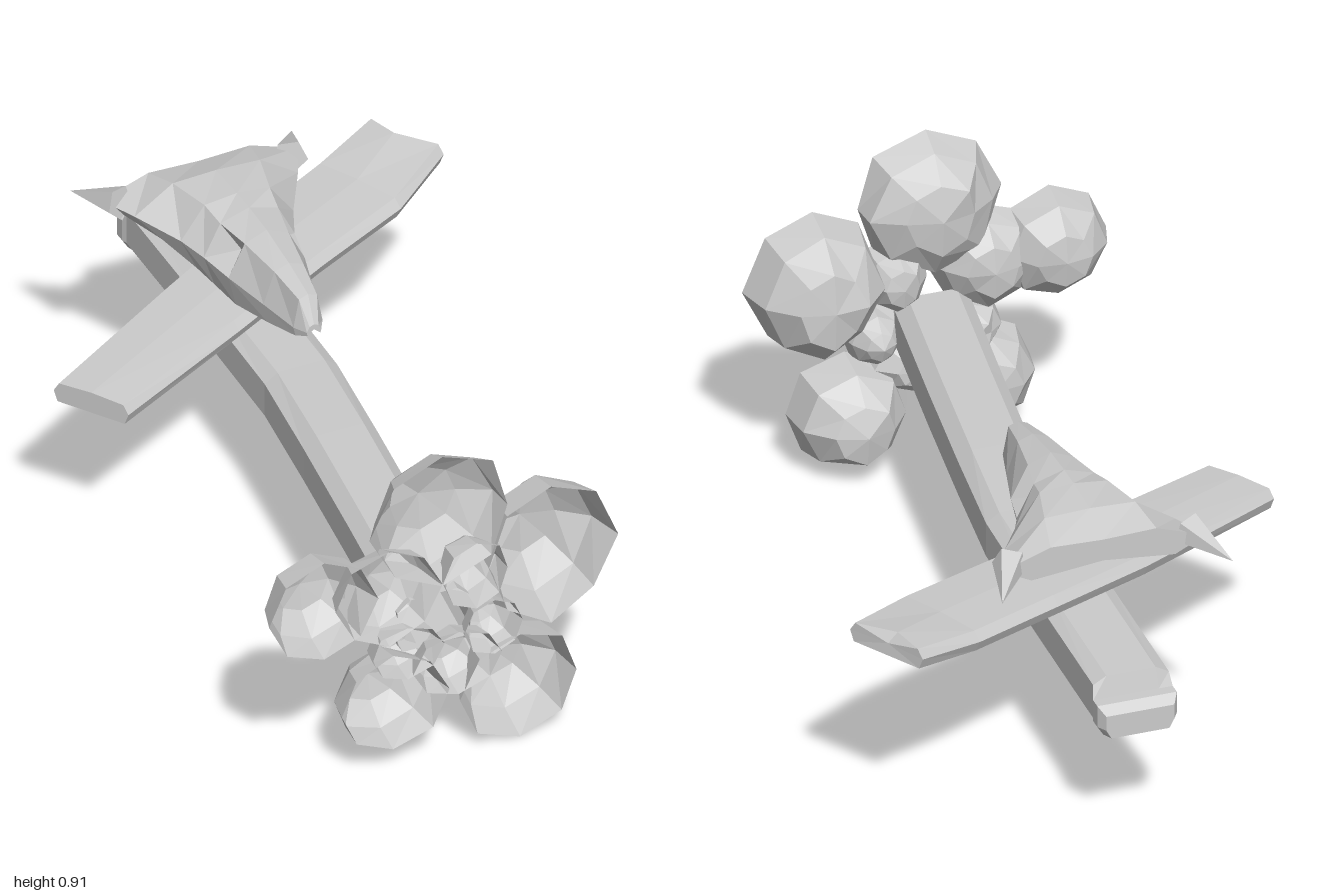
import * as THREE from 'three';

const material = new THREE.MeshStandardMaterial({
  color: 0xcccccc, flatShading: true, side: THREE.DoubleSide,
});

// Skin a series of closed rings; skip(i, j) returns a point to sink that panel to.
function loft(name, rings, { capStart = true, capEnd = true, sink = () => null } = {}) {
  const pos = [];
  const tri = (...pts) => pts.forEach((p) => pos.push(...p));
  const n = rings[0].length;
  for (let i = 0; i < rings.length - 1; i++) {
    for (let j = 0; j < n; j++) {
      const k = (j + 1) % n;
      const quad = [rings[i][j], rings[i][k], rings[i + 1][k], rings[i + 1][j]];
      const deep = sink(i, j);
      if (deep) quad.forEach((p, q) => tri(p, quad[(q + 1) % 4], deep));
      else {
        tri(quad[0], quad[1], quad[2]);
        tri(quad[0], quad[2], quad[3]);
      }
    }
  }
  const cap = (ring, flip) => {
    const mid = [0, 1, 2].map((a) => ring.reduce((s, p) => s + p[a], 0) / n);
    ring.forEach((p, j) => {
      const q = ring[(j + 1) % n];
      if (flip) tri(q, p, mid);
      else tri(p, q, mid);
    });
  };
  if (capStart) cap(rings[0], true);
  if (capEnd) cap(rings[rings.length - 1], false);
  const g = new THREE.BufferGeometry();
  g.setAttribute('position', new THREE.Float32BufferAttribute(pos, 3));
  g.computeVertexNormals();
  const mesh = new THREE.Mesh(g, material);
  mesh.name = name;
  return mesh;
}

// Bent chamfered beam with a stepped, broken tip
function makePost() {
  const section = [[0.1, 0.335], [0.1, 0.43], [0.065, 0.46], [-0.065, 0.46],
    [-0.1, 0.43], [-0.1, 0.335], [-0.085, 0.31], [0.085, 0.31]];
  // z, centre x, height limit, width factor
  const stations = [[-1, -0.015, 0.375, 0.9], [-0.975, -0.015, 0.395, 1.05], [-0.945, -0.015, 0.395, 1.05],
    [-0.93, -0.015, 0.45, 1], [-0.5, -0.02, 0.452, 1], [-0.1, -0.03, 0.455, 1],
    [0.2, -0.065, 0.46, 1], [0.55, -0.11, 0.46, 1], [0.95, -0.165, 0.46, 1]];
  return loft('post', stations.map(([z, cx, top, w]) =>
    section.map(([x, y]) => [cx + x * w, Math.min(y, top), z])), { capEnd: false });
}

// Crooked plank laid across the post
function makeCrossbar() {
  // fraction across the width, height above the underside
  const section = [[0.07, 0.055], [0.5, 0.06], [0.93, 0.055], [1, 0.03], [0.95, 0], [0.05, 0], [0, 0.03]];
  // back edge x, z; front edge x, z; underside y; notch depth
  const stations = [[-0.63, -0.27, -0.51, -0.09, 0.425, 0], [-0.21, -0.51, -0.12, -0.27, 0.45, 0],
    [0.08, -0.66, 0.18, -0.41, 0.475, 0], [0.33, -0.78, 0.45, -0.53, 0.49, 0],
    [0.51, -0.86, 0.63, -0.66, 0.52, 0.03]];
  return loft('crossbar', stations.map(([bx, bz, fx, fz, y0, notch]) =>
    section.map(([t, y], j) => [
      bx + (fx - bx) * t - (j === 1 ? notch : 0), y0 + y, bz + (fz - bz) * t])));
}

// Long-snouted animal skull with sunken eyes and swept-back horns
function makeSkull() {
  const skull = new THREE.Group();
  skull.name = 'skull';
  const cx = -0.025;
  // z, crown y, brow half-width and y, cheek half-width and y, jaw half-width and y
  const stations = [
    [-0.7, 0.70, 0.14, 0.705, 0.27, 0.66, 0.19, 0.62],
    [-0.6, 0.735, 0.12, 0.73, 0.225, 0.66, 0.15, 0.57],
    [-0.48, 0.74, 0.09, 0.73, 0.155, 0.64, 0.11, 0.545],
    [-0.41, 0.74, 0.08, 0.715, 0.125, 0.625, 0.095, 0.535],
    [-0.31, 0.735, 0.06, 0.71, 0.105, 0.62, 0.085, 0.535],
    [-0.18, 0.715, 0.04, 0.70, 0.07, 0.61, 0.06, 0.555],
    [-0.07, 0.69, 0.025, 0.68, 0.04, 0.60, 0.035, 0.575],
    [-0.035, 0.62, 0.012, 0.615, 0.02, 0.60, 0.018, 0.59]];
  const rings = stations.map(([z, yt, a, ya, w, yw, b, yb]) => {
    const side = [[a, ya], [w, yw], [b, yb]];
    const right = side.map(([x, y]) => [cx + x, y, z]).reverse();
    const left = side.map(([x, y]) => [cx - x, y, z]);
    return [...right, [cx, yt, z], ...left, [cx, yb + 0.02, z]];
  });
  const sink = (i, j) => (i === 3 && (j === 1 || j === 4)
    ? [cx + (j === 1 ? 0.04 : -0.04), 0.65, -0.37] : null);
  skull.add(loft('cranium', rings, { sink }));

  for (const s of [-1, 1]) {
    const base = new THREE.Vector3(cx + s * 0.235, 0.665, -0.665);
    const tip = new THREE.Vector3(cx + s * 0.305, 0.635, -0.805);
    const dir = tip.clone().sub(base);
    const horn = new THREE.Mesh(new THREE.ConeGeometry(0.045, dir.length(), 5), material);
    horn.name = s > 0 ? 'leftHorn' : 'rightHorn';
    horn.position.copy(base).add(tip).multiplyScalar(0.5);
    horn.quaternion.setFromUnitVectors(new THREE.Vector3(0, 1, 0), dir.normalize());
    skull.add(horn);
  }
  return skull;
}

// Hollow half-boulder, open towards +z, with position-hashed facets
function makeRock([x, y, rx, ry, depth], index) {
  const g = new THREE.SphereGeometry(1, 8, 3, 0, Math.PI * 2, 0, Math.PI / 2);
  g.rotateX(-Math.PI / 2);
  const p = g.attributes.position;
  const v = new THREE.Vector3();
  for (let i = 0; i < p.count; i++) {
    v.fromBufferAttribute(p, i);
    const key = Math.round(v.x * 50) * 12.99 + Math.round(v.y * 50) * 78.23
      + Math.round(v.z * 50) * 37.7 + index * 5.3;
    const h = Math.sin(key) * 43758.5;
    v.multiplyScalar(0.94 + 0.12 * (h - Math.floor(h)));
    p.setXYZ(i, v.x * rx, v.y * ry, Math.min(v.z, 0) * depth);
  }
  g.computeVertexNormals();
  const rock = new THREE.Mesh(g, material);
  rock.name = `rock${index + 1}`;
  rock.position.set(x, y, 1);
  return rock;
}

export function createModel() {
  const model = new THREE.Group();
  model.name = 'graveMarker';
  model.add(makePost(), makeCrossbar(), makeSkull());

  // Ring of boulders around the foot, with small stones filling in
  const rocks = new THREE.Group();
  rocks.name = 'rocks';
  [
    [-0.165, 0.71, 0.19, 0.195, 0.14], [0.135, 0.53, 0.175, 0.205, 0.19],
    [-0.49, 0.53, 0.145, 0.145, 0.15], [-0.30, 0.20, 0.15, 0.14, 0.15],
    [0.05, 0.155, 0.16, 0.155, 0.19], [-0.31, 0.52, 0.14, 0.14, 0.12],
    [-0.26, 0.34, 0.1, 0.08, 0.11], [-0.12, 0.27, 0.12, 0.09, 0.11],
    [-0.02, 0.35, 0.08, 0.08, 0.1], [-0.07, 0.52, 0.09, 0.1, 0.12],
  ].forEach((r, i) => rocks.add(makeRock(r, i)));
  model.add(rocks);
  return model;
}
